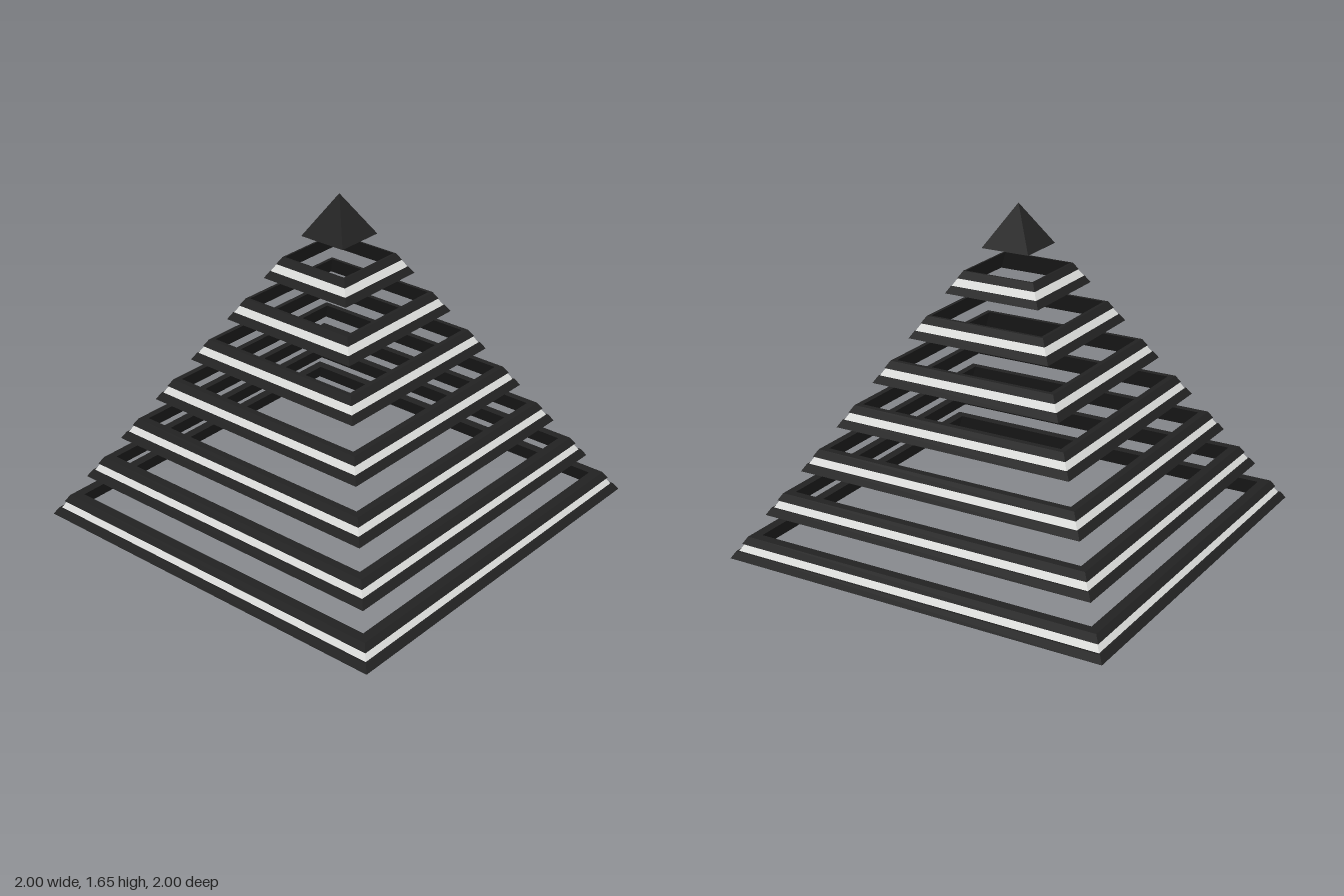
import * as THREE from 'three';

const HEIGHT = 1.65;        // apex of the whole pyramid
const STEP = HEIGHT / 8;    // vertical spacing of the tiers
const TIERS = 7;
const INNER = 0.948;        // inner wall, relative to the outer slope
const GROOVE = 0.99;        // recessed light band, relative to the outer slope

// point on the pyramid slope at height y, scaled towards the axis
function slopePoint(y, scale = 1) {
  return new THREE.Vector2((1 - y / HEIGHT) * scale * Math.SQRT2, y);
}

// sweep a profile around four flat sides aligned with the axes
function squareLathe(points) {
  const geometry = new THREE.LatheGeometry(points, 4, Math.PI / 4).toNonIndexed();
  geometry.computeVertexNormals();
  return geometry;
}

export function createModel() {
  const group = new THREE.Group();
  group.name = 'slicedPyramid';

  const dark = new THREE.MeshStandardMaterial({ color: 0x222222 });
  dark.name = 'charcoal';
  const light = new THREE.MeshStandardMaterial({ color: 0xdedfdd });
  light.name = 'paleGrey';

  const add = (parent, name, geometry, material) => {
    const mesh = new THREE.Mesh(geometry, material);
    mesh.name = name;
    parent.add(mesh);
  };

  // hollow square tiers, each with a recessed light band
  for (let i = 0; i < TIERS; i++) {
    const tier = new THREE.Group();
    tier.name = `tier${i + 1}`;
    const y0 = i * STEP;
    const y3 = y0 + STEP / 2;
    const y1 = y0 + STEP / 6;
    const y2 = y0 + STEP / 3;

    // frame: upper lip, top, inner wall, underside, lower lip
    add(tier, 'frame', squareLathe([
      slopePoint(y2, GROOVE), slopePoint(y2), slopePoint(y3),
      slopePoint(y3, INNER), slopePoint(y0, INNER),
      slopePoint(y0), slopePoint(y1), slopePoint(y1, GROOVE),
    ]), dark);
    add(tier, 'lightBand', squareLathe([
      slopePoint(y1, GROOVE), slopePoint(y2, GROOVE),
    ]), light);
    group.add(tier);
  }

  // solid capstone
  const capBase = TIERS * STEP;
  const cap = new THREE.ConeGeometry(slopePoint(capBase).x, HEIGHT - capBase, 4, 1, false, Math.PI / 4).toNonIndexed();
  cap.computeVertexNormals();
  cap.translate(0, (HEIGHT + capBase) / 2, 0);
  add(group, 'capstone', cap, dark);

  return group;
}
